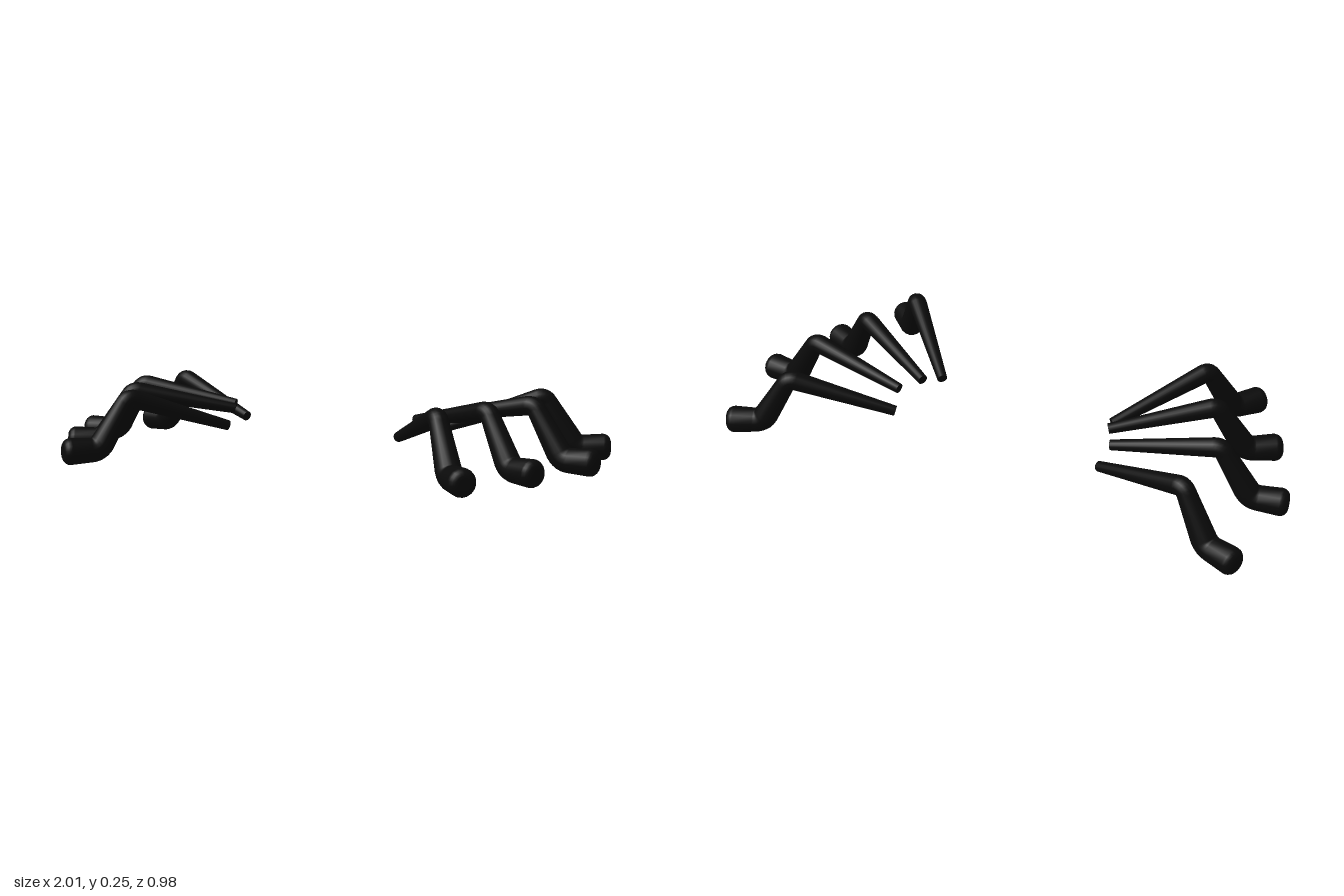
import * as THREE from 'three';

const SIDES = 18;
const material = new THREE.MeshStandardMaterial({ color: 0x0a0a0a });

// Each leg on the left side: hip end and foot tip as [x, z], height of the hip end
const LEGS = [
  { name: 'rearLeg', hip: [0.385, -0.235], tip: [0.945, -0.453], hipY: 0.107 },
  { name: 'midRearLeg', hip: [0.4, -0.175], tip: [1.0, -0.085], hipY: 0.16 },
  { name: 'midFrontLeg', hip: [0.355, -0.085], tip: [0.885, 0.21], hipY: 0.155 },
  { name: 'frontLeg', hip: [0.33, 0.015], tip: [0.735, 0.47], hipY: 0.107 },
];

// Round sections swept along a path in the xy plane; each ring is { p, t, r }
function sweep(rings) {
  const pos = [], index = [];
  rings.forEach(({ p, t, r }) => {
    for (let j = 0; j < SIDES; j++) {
      const a = (j / SIDES) * Math.PI * 2, c = Math.cos(a) * r;
      pos.push(p.x - t.y * c, p.y + t.x * c, Math.sin(a) * r);
    }
  });
  for (let i = 0; i < rings.length - 1; i++) {
    for (let j = 0; j < SIDES; j++) {
      const k = (j + 1) % SIDES;
      const a = i * SIDES + j, b = i * SIDES + k, c = a + SIDES, d = b + SIDES;
      index.push(a, b, c, b, d, c);
    }
  }
  const geo = new THREE.BufferGeometry();
  geo.setAttribute('position', new THREE.Float32BufferAttribute(pos, 3));
  geo.setIndex(index);
  geo.computeVertexNormals();
  return geo;
}

// Thigh rising to the knee, shin dropping to the ankle, foot flat on the ground
function legGeometry(length, hipY) {
  const hip = new THREE.Vector2(0, hipY);
  const knee = new THREE.Vector2(length * 0.61, 0.225);
  const ankle = new THREE.Vector2(length * 0.79, 0.047);
  const tip = new THREE.Vector2(length, 0.047);
  const dir = (a, b) => b.clone().sub(a).normalize();
  const thigh = dir(hip, knee), shin = dir(knee, ankle), foot = dir(ankle, tip);
  const rings = [];

  // flat hip end
  for (const r of [0, 0.018, 0.018]) rings.push({ p: hip, t: thigh, r });

  // softly rounded bends
  const bend = (c, d1, d2, reach, r) => {
    const curve = new THREE.QuadraticBezierCurve(
      c.clone().addScaledVector(d1, -reach), c, c.clone().addScaledVector(d2, reach));
    for (let i = 0; i <= 6; i++) {
      rings.push({ p: curve.getPoint(i / 6), t: curve.getTangent(i / 6), r });
    }
  };
  bend(knee, thigh, shin, 0.024, 0.033);
  bend(ankle, shin, foot, 0.03, 0.043);

  // rounded toe
  const bevel = 0.028, R = 0.047;
  for (let i = 0; i <= 6; i++) {
    const a = (i / 6) * Math.PI / 2;
    rings.push({
      p: new THREE.Vector2(tip.x - bevel * (1 - Math.sin(a)), tip.y),
      t: foot, r: R - bevel * (1 - Math.cos(a)),
    });
  }
  rings.push({ p: tip, t: foot, r: 0 });
  return sweep(rings);
}

export function createModel() {
  const model = new THREE.Group();
  model.name = 'legs';
  for (const { name, hip, tip, hipY } of LEGS) {
    const dx = tip[0] - hip[0], dz = tip[1] - hip[1];
    const geo = legGeometry(Math.hypot(dx, dz), hipY);
    for (const side of [1, -1]) {
      const leg = new THREE.Mesh(geo, material);
      leg.name = name + (side > 0 ? 'Left' : 'Right');
      leg.position.set(side * hip[0], 0, hip[1]);
      leg.rotation.y = Math.atan2(-dz, side * dx);
      model.add(leg);
    }
  }
  return model;
}
